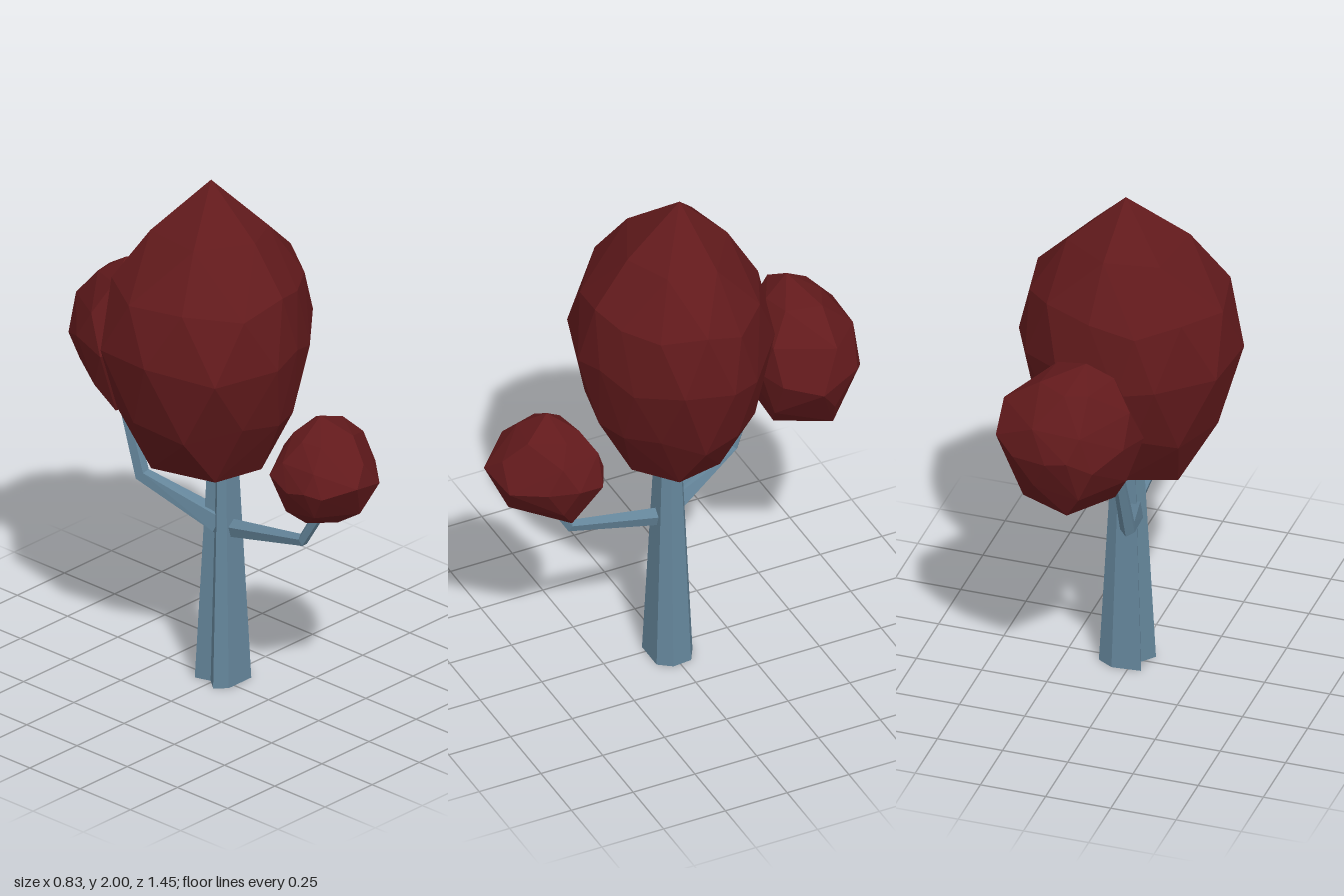
import * as THREE from 'three';
import { ConvexGeometry } from 'three/addons/geometries/ConvexGeometry.js';

const bark = new THREE.MeshStandardMaterial({ color: 0x64859a, flatShading: true });
const leaf = new THREE.MeshStandardMaterial({ color: 0x621a1c, flatShading: true });
const V = (x, y, z) => new THREE.Vector3(x, y, z);

function named(name, geometry, material) {
  const mesh = new THREE.Mesh(geometry, material);
  mesh.name = name;
  return mesh;
}

// Skin a list of rings (each counter-clockwise about the direction of travel), capping both ends
function loft(rings) {
  const n = rings[0].length, pos = [];
  const tri = (...pts) => pts.forEach(p => pos.push(p.x, p.y, p.z));
  for (let r = 0; r < rings.length - 1; r++) {
    for (let i = 0; i < n; i++) {
      const j = (i + 1) % n, a = rings[r], b = rings[r + 1];
      tri(a[i], a[j], b[j]);
      tri(a[i], b[j], b[i]);
    }
  }
  const centre = ring => ring.reduce((s, p) => s.add(p), V(0, 0, 0)).divideScalar(n);
  const first = rings[0], last = rings[rings.length - 1];
  const c0 = centre(first), c1 = centre(last);
  for (let i = 0; i < n; i++) {
    const j = (i + 1) % n;
    tri(c0, first[j], first[i]);
    tri(c1, last[i], last[j]);
  }
  const g = new THREE.BufferGeometry();
  g.setAttribute('position', new THREE.Float32BufferAttribute(pos, 3));
  g.computeVertexNormals();
  return g;
}

// Five-sided tapering branch through the given joints
function branch(joints, radii) {
  const rings = joints.map((p, k) => {
    const t = joints[Math.min(k + 1, joints.length - 1)].clone()
      .sub(joints[Math.max(k - 1, 0)]).normalize();
    const u = V(1, 0, 0).addScaledVector(t, -t.x).normalize();
    const w = t.clone().cross(u);
    return Array.from({ length: 5 }, (_, i) => {
      const a = (i / 5) * Math.PI * 2 + 0.3;
      return p.clone().addScaledVector(u, Math.cos(a) * radii[k] * 0.85)
        .addScaledVector(w, Math.sin(a) * radii[k]);
    });
  });
  return loft(rings);
}

// Faceted crown: a widest outline [x, z] shrunk towards the two tips.
// Each level is [y, scale, point step, half-step shift, height wobble].
function crown(outline, top, bottom, levels) {
  const n = outline.length, pts = [top, bottom];
  for (const [y, s, step, shift, wobble] of levels) {
    const f = (y - bottom.y) / (top.y - bottom.y);
    const cx = THREE.MathUtils.lerp(bottom.x, top.x, f);
    const cz = THREE.MathUtils.lerp(bottom.z, top.z, f);
    for (let i = 0; i < n; i += step) {
      const a = outline[i], b = outline[(i + 1) % n];
      const x = a[0] + (b[0] - a[0]) * shift, z = a[1] + (b[1] - a[1]) * shift;
      pts.push(V(cx + (x - cx) * s, y + Math.sin(i * 2.4 + y * 5) * wobble, cz + (z - cz) * s));
    }
  }
  return new ConvexGeometry(pts);
}

export function createModel() {
  const tree = new THREE.Group();
  tree.name = 'tree';

  // Trunk with a groove along its -x side
  const section = [[-0.07, 0.04], [-0.03, 0.08], [0.09, 0.08], [0.127, 0.03],
    [0.12, -0.045], [0.06, -0.08], [-0.05, -0.07], [-0.03, -0.01]];
  const trunkRing = (y, s) => section.map(([x, z]) => V(0.025 + (x - 0.025) * s, y, z * s));
  tree.add(named('trunk', loft([trunkRing(0, 1), trunkRing(0.9, 0.54)]), bark));

  // Branches
  tree.add(named('frontBranch', branch(
    [V(0.025, 0.61, 0), V(0.022, 0.69, 0.4), V(0.03, 0.86, 0.5)],
    [0.038, 0.024, 0.022]), bark));
  tree.add(named('backBranch', branch(
    [V(0.01, 0.63, 0), V(-0.08, 0.755, -0.305), V(-0.075, 1.06, -0.41)],
    [0.055, 0.034, 0.026]), bark));

  // Main crown
  tree.add(named('mainFoliage', crown(
    [[-0.39, -0.22], [-0.2, -0.365], [-0.06, -0.385], [0.18, -0.355], [0.35, -0.2], [0.415, -0.08],
      [0.385, 0.11], [0.23, 0.24], [0.09, 0.31], [-0.04, 0.335], [-0.29, 0.255], [-0.415, 0.02]],
    V(0.015, 2, -0.05), V(0.01, 0.8, -0.02),
    [[1.81, 0.57, 2, 0.5, 0.01], [1.61, 0.93, 1, 0.5, 0.025], [1.38, 1, 1, 0, 0.03],
      [1.12, 0.88, 1, 0.5, 0.025], [0.9, 0.56, 2, 0, 0.015]]), leaf));

  // Front crown
  tree.add(named('frontFoliage', crown(
    [[-0.17, 0.5], [-0.155, 0.4], [-0.09, 0.35], [0.02, 0.33], [0.15, 0.325], [0.22, 0.36],
      [0.255, 0.47], [0.215, 0.58], [0.12, 0.69], [-0.03, 0.72], [-0.135, 0.64], [-0.165, 0.58]],
    V(0.02, 1.225, 0.49), V(0.08, 0.785, 0.44),
    [[1.16, 0.55, 2, 0, 0.01], [1.09, 0.9, 2, 0.5, 0.015], [1.0, 1, 1, 0, 0.02],
      [0.89, 0.82, 2, 0.5, 0.015], [0.81, 0.45, 3, 0, 0.01]]), leaf));

  // Back crown
  tree.add(named('backFoliage', crown(
    [[-0.18, -0.42], [-0.15, -0.565], [-0.07, -0.68], [0.015, -0.725], [0.1, -0.72], [0.24, -0.67],
      [0.32, -0.62], [0.352, -0.47], [0.28, -0.34], [0.18, -0.3], [0.05, -0.295], [-0.1, -0.33]],
    V(0.02, 1.54, -0.48), V(0.1, 0.935, -0.47),
    [[1.47, 0.5, 2, 0, 0.01], [1.36, 0.93, 2, 0.5, 0.02], [1.23, 1, 1, 0, 0.03],
      [1.09, 0.88, 2, 0.5, 0.02], [0.98, 0.62, 3, 0, 0.015]]), leaf));

  return tree;
}
